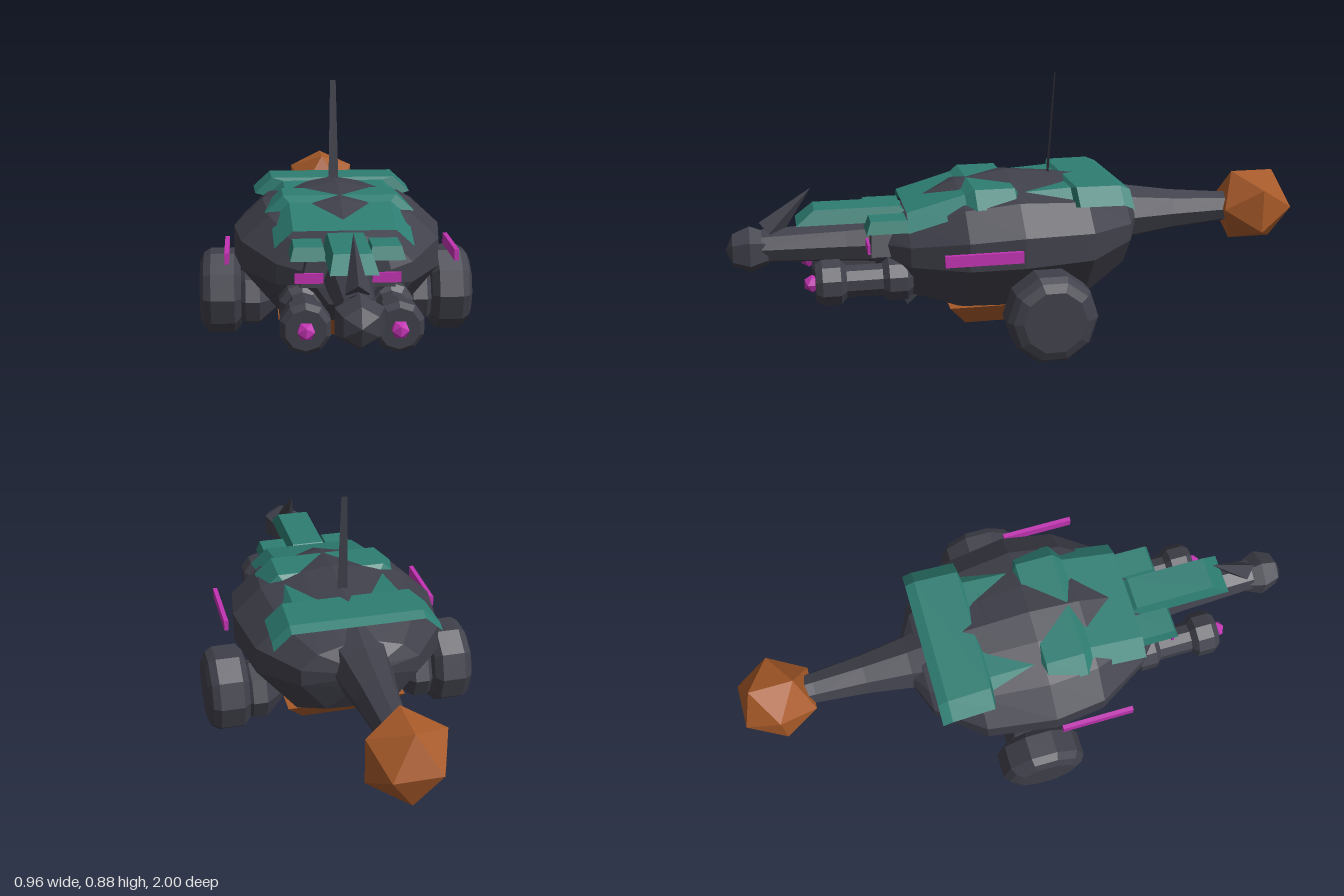
import * as THREE from 'three';

const paint = (name, color) => {
  const m = new THREE.MeshStandardMaterial({ color });
  m.name = name;
  return m;
};

// Give every facet its own normals
function facet(geo) {
  const g = geo.index ? geo.toNonIndexed() : geo;
  g.computeVertexNormals();
  return g;
}

// Faceted solid of revolution along x or z; profile is [distance, radius]
function turned(profile, sides, axis, dir = 1) {
  const g = new THREE.LatheGeometry(profile.map(([d, r]) => new THREE.Vector2(r, d)), sides);
  if (axis === 'z') g.rotateX(Math.PI / 2);
  else g.rotateZ(-dir * Math.PI / 2);
  return facet(g);
}

// Skin between cross-sections ordered by rising z, each listed clockwise from the front
function loft(sections, closed) {
  const pos = [], n = sections[0].length;
  const tri = (...pts) => pts.forEach(p => pos.push(...p));
  for (let s = 0; s < sections.length - 1; s++) {
    for (let i = 0; i < (closed ? n : n - 1); i++) {
      const j = (i + 1) % n;
      const a = sections[s][i], b = sections[s][j], c = sections[s + 1][j], d = sections[s + 1][i];
      tri(a, d, b);
      tri(b, d, c);
    }
  }
  if (closed) {
    const back = sections[0], front = sections[sections.length - 1];
    for (let i = 1; i < n - 1; i++) {
      tri(back[0], back[i], back[i + 1]);
      tri(front[0], front[i + 1], front[i]);
    }
  }
  const g = new THREE.BufferGeometry();
  g.setAttribute('position', new THREE.Float32BufferAttribute(pos, 3));
  g.computeVertexNormals();
  return g;
}

// Box whose top (sign 1) or bottom (sign -1) is shrunk
function taperedBox(w, h, d, sign, kx, kz) {
  const g = new THREE.BoxGeometry(w, h, d), p = g.attributes.position;
  for (let i = 0; i < p.count; i++) {
    if (p.getY(i) * sign > 0) p.setXYZ(i, p.getX(i) * kx, p.getY(i), p.getZ(i) * kz);
  }
  return facet(g);
}

// Four-sided spike from a base centre to a tip, flattened sideways
function spike(base, tip, radius, flat) {
  const a = new THREE.Vector3(...base), dir = new THREE.Vector3(...tip).sub(a), h = dir.length();
  const g = new THREE.ConeGeometry(radius, h, 4);
  g.translate(0, h / 2, 0);
  g.scale(flat, 1, 1);
  g.applyQuaternion(new THREE.Quaternion().setFromUnitVectors(new THREE.Vector3(0, 1, 0), dir.normalize()));
  g.translate(a.x, a.y, a.z);
  return facet(g);
}

export function createModel() {
  const dark = paint('dark slate', 0x40404b);
  const teal = paint('teal', 0x2d7d72);
  teal.side = THREE.DoubleSide;
  const orange = paint('burnt orange', 0xa85a29);
  const magenta = paint('magenta', 0xc233b2);
  const blade = paint('dark slate blade', 0x40404b);
  blade.side = THREE.DoubleSide;

  const model = new THREE.Group();
  const add = (name, geo, mat, x = 0, y = 0, z = 0) => {
    const m = new THREE.Mesh(geo, mat);
    m.name = name;
    m.position.set(x, y, z);
    model.add(m);
    return m;
  };

  // Body: one half outline, mirrored and scaled along the length
  const half = [[0, 1], [0.3, 0.96], [0.72, 0.87], [1, 0.66], [1, 0.43], [0.57, 0.02]];
  const outline = [...half, [0, 0], ...half.slice(1).reverse().map(([x, y]) => [-x, y])];
  const hull = [ // z, half width, bottom, top
    [-0.42, 0.06, 0.33, 0.42], [-0.36, 0.2, 0.22, 0.47], [-0.2, 0.32, 0.13, 0.53],
    [0.04, 0.355, 0.11, 0.55], [0.22, 0.33, 0.115, 0.525], [0.4, 0.22, 0.16, 0.45],
    [0.5, 0.1, 0.24, 0.39]
  ];
  add('body', loft(hull.map(([z, w, lo, hi]) => outline.map(([x, y]) => [x * w, lo + y * (hi - lo), z])), true), dark);

  // Stepped back armour with sloping edges
  const armour = [ // z, half width, height
    [-0.345, 0.285, 0.515], [-0.31, 0.285, 0.53], [-0.16, 0.28, 0.53], [-0.15, 0.24, 0.52],
    [0.03, 0.235, 0.51], [0.045, 0.25, 0.53], [0.18, 0.25, 0.53], [0.21, 0.23, 0.512], [0.405, 0.225, 0.458]
  ];
  add('backArmour', loft(armour.map(([z, w, y]) =>
    [[-w, y - 0.055, z], [-w + 0.06, y, z], [w - 0.06, y, z], [w, y - 0.055, z]]), false), teal);

  // Belly plate
  add('bellyPlate', taperedBox(0.42, 0.075, 0.46, -1, 0.71, 0.74), orange, 0, 0.09, 0.04);

  // Tail and its club
  add('tail', turned([[-0.8, 0.054], [-0.74, 0.056], [-0.56, 0.073], [-0.4, 0.098], [-0.3, 0.125]], 8, 'z'), dark, 0, 0.375, 0);
  const club = new THREE.IcosahedronGeometry(0.147, 0);
  club.rotateX(Math.PI / 2);
  add('tailClub', facet(club), orange, 0, 0.378, -0.875);

  // Neck, head, horn and chin spike
  add('neck', turned([[0.42, 0.085], [0.6, 0.07], [0.88, 0.058]], 8, 'z'), dark, 0, 0.325, 0);
  const head = new THREE.SphereGeometry(0.081, 6, 4);
  head.rotateX(Math.PI / 2);
  head.rotateZ(Math.PI / 6);
  add('head', facet(head), dark, 0, 0.315, 0.919);
  add('horn', spike([0, 0.375, 0.855], [0, 0.52, 0.71], 0.045, 0.8), dark);
  add('chestSpike', spike([0, 0.21, 0.37], [0, 0.08, 0.39], 0.11, 0.16), dark);
  add('neckGuard', taperedBox(0.145, 0.05, 0.405, 1, 0.8, 0.7), teal, 0, 0.43, 0.562);

  // Shoulder block
  add('shoulderBlock', taperedBox(0.3, 0.08, 0.12, 1, 0.85, 0.9), dark, 0, 0.345, 0.465);

  // Flat rear antenna, leaning slightly back
  const antenna = new THREE.Shape();
  [[-0.018, 0], [0.018, 0], [0.01, 0.375], [-0.01, 0.375]].forEach(([x, y], i) =>
    i ? antenna.lineTo(x, y) : antenna.moveTo(x, y));
  const mast = add('antenna', new THREE.ShapeGeometry(antenna), blade, 0, 0.51, -0.11);
  mast.rotation.x = -0.07;

  // Mirrored parts
  for (const s of [1, -1]) {
    const side = s > 0 ? 'left' : 'right';
    add(side + 'ShoulderPlate', taperedBox(0.115, 0.042, 0.15, 1, 0.8, 0.8), teal, s * 0.122, 0.413, 0.465);
    add(side + 'HeadLight', new THREE.BoxGeometry(0.09, 0.032, 0.009), magenta, s * 0.121, 0.337, 0.532);
    add(side + 'SideBar', new THREE.BoxGeometry(0.015, 0.038, 0.255), magenta, s * 0.378, 0.348, 0.182);

    // Cannon with a flared breech and muzzle
    add(side + 'Cannon', turned([
      [0.39, 0], [0.39, 0.055], [0.41, 0.076], [0.47, 0.076], [0.49, 0.056], [0.61, 0.056],
      [0.63, 0.08], [0.69, 0.08], [0.712, 0.064], [0.712, 0]
    ], 10, 'z'), dark, s * 0.14, 0.226, 0);
    add(side + 'CannonTip', facet(new THREE.IcosahedronGeometry(0.03, 0)), magenta, s * 0.14, 0.226, 0.722);

    // Wheel and its hub
    add(side + 'Wheel', turned([
      [0.335, 0], [0.335, 0.125], [0.358, 0.151], [0.44, 0.151], [0.465, 0.135], [0.478, 0.105], [0.478, 0]
    ], 10, 'x', s), dark, 0, 0.151, -0.03);
    add(side + 'Hub', turned([[0.18, 0], [0.2, 0.04], [0.27, 0.105], [0.32, 0.105], [0.345, 0.08]], 8, 'x', s),
      dark, 0, 0.13, -0.03);
  }
  return model;
}
